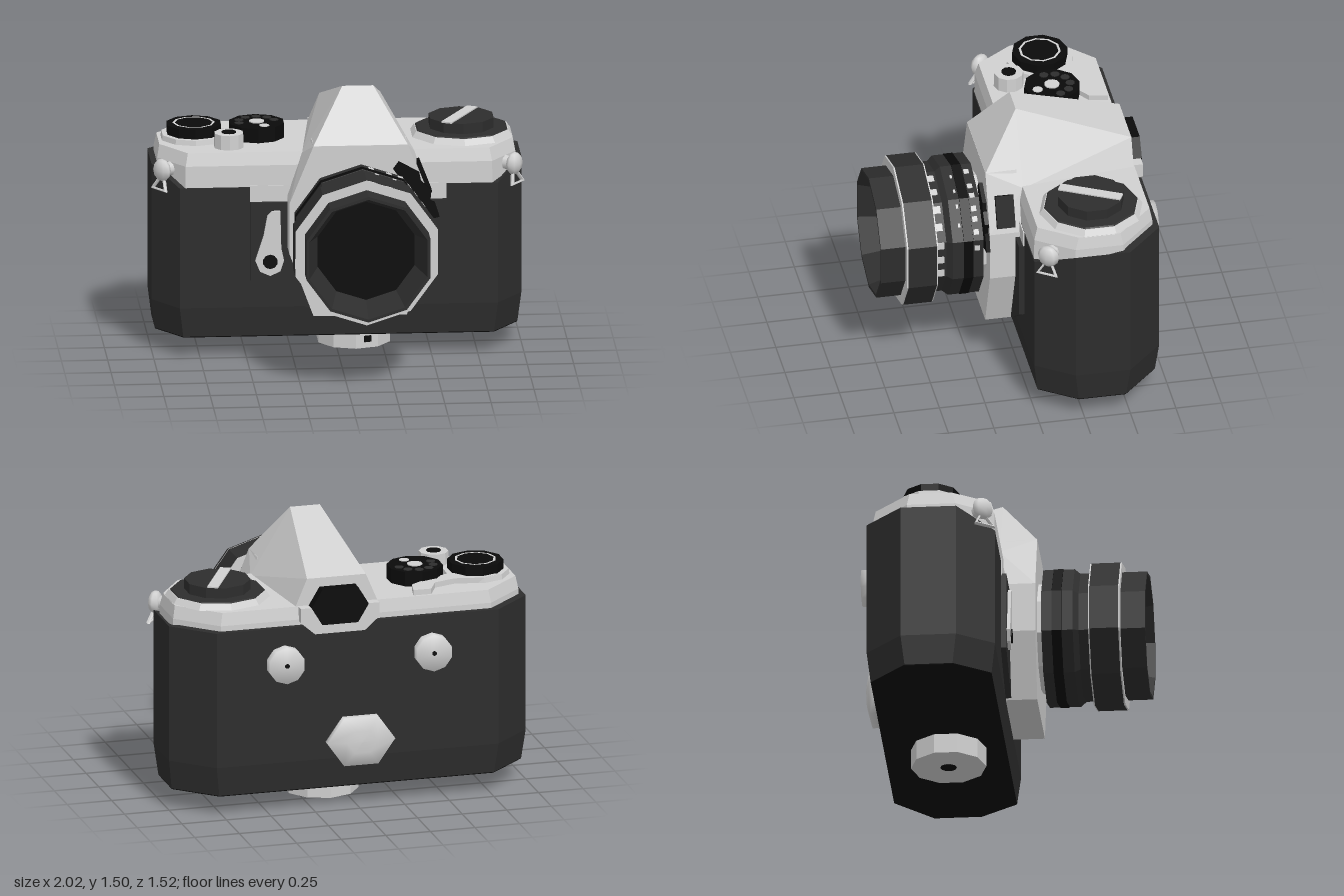
import * as THREE from 'three';
import { ConvexGeometry } from 'three/addons/geometries/ConvexGeometry.js';

const mat = (name, color) => Object.assign(new THREE.MeshStandardMaterial({ color }), { name });

export function createModel() {
  const silver = mat('satin silver', 0xd0d0d0);
  const dark = mat('dark covering', 0x2d2d2d);
  const black = mat('black', 0x0a0a0a);
  const root = new THREE.Group();
  root.name = 'camera';

  const add = (name, geo, material, x = 0, y = 0, z = 0, parent = root) => {
    const m = new THREE.Mesh(geo, material);
    m.name = name;
    m.position.set(x, y, z);
    parent.add(m);
    return m;
  };
  const flat = (geo) => {
    const g = geo.index ? geo.toNonIndexed() : geo;
    g.computeVertexNormals();
    return g;
  };
  const box = (w, h, d) => new THREE.BoxGeometry(w, h, d);
  // Faceted upright disc
  const disc = (r0, r1, h) => flat(new THREE.CylinderGeometry(r1, r0, h, 10));
  // Flat outline pushed along +z
  const plate = (pts, depth) => new THREE.ExtrudeGeometry(
    new THREE.Shape(pts.map(([x, y]) => new THREE.Vector2(x, y))), { depth, bevelEnabled: false });
  // Closed solid through stacked rings, counter-clockwise seen from above
  const loft = (rings) => {
    const n = rings[0].length, p = [];
    const tri = (...v) => v.forEach((a) => p.push(...a));
    for (let k = 0; k + 1 < rings.length; k++) {
      for (let i = 0; i < n; i++) {
        const j = (i + 1) % n, lo = rings[k], hi = rings[k + 1];
        tri(lo[i], lo[j], hi[j], lo[i], hi[j], hi[i]);
      }
    }
    const bottom = rings[0], top = rings[rings.length - 1];
    for (let i = 1; i + 1 < n; i++) {
      tri(top[0], top[i], top[i + 1]);
      tri(bottom[0], bottom[i + 1], bottom[i]);
    }
    const g = new THREE.BufferGeometry();
    g.setAttribute('position', new THREE.Float32BufferAttribute(p, 3));
    g.computeVertexNormals();
    return g;
  };

  // Body: clipped-corner outline, front corners of the covering dip lower
  const outline = [[1, -0.5], [0.79, -0.7], [-0.79, -0.7], [-1, -0.5], [-1, -0.2], [-0.86, 0], [0.86, 0], [1, -0.2]];
  const ring = (inset, y, frontInset = inset) => outline.map(([x, z]) => [
    x - Math.sign(x) * inset, y, z > -0.4 ? z - frontInset : z + inset]);
  const rim = ring(0, 1.04);
  rim[5][1] = rim[6][1] = 0.95;
  add('body', loft([ring(0.02, 0.115), ring(0, 0.28), rim]), dark);
  add('basePlate', loft([ring(0.022, 0.11), ring(0.02, 0.116)]), black);
  add('topCover', loft([ring(0.03, 0.93, 0.004), ring(0.032, 1.07, 0.006), ring(0.045, 1.14, 0.025)]), silver);

  // Raised covering and trim around the lens mount
  add('frontTrim', plate([[-0.48, 0.86], [0.58, 0.86], [0.58, 0.96], [-0.48, 0.96]], 0.006), silver);
  add('frontPanel', plate([[-0.48, 0.87], [-0.48, 0.43], [-0.17, 0.28], [0.37, 0.28], [0.58, 0.43], [0.58, 0.87]], 0.03), dark);
  add('lensMount', plate([[-0.15, 0.27], [0.355, 0.27], [0.485, 0.62], [0.485, 0.9],
    [0.36, 1.22], [-0.15, 1.22], [-0.28, 0.9], [-0.28, 0.62]], 0.17), silver);

  // Prism housing
  const prism = [
    [0.02, 1.5, -0.03], [0.187, 1.5, -0.03], [-0.06, 1.29, -0.65], [0.27, 1.29, -0.65],
    [-0.15, 1.22, 0.169], [0.36, 1.22, 0.169], [-0.2, 1.13, -0.03], [0.41, 1.13, -0.03],
    [-0.14, 1.1, -0.65], [0.35, 1.1, -0.65], [-0.28, 0.9, 0.169], [0.485, 0.9, 0.169],
    [-0.28, 0.9, 0], [0.485, 0.9, 0]];
  add('prismHousing', new ConvexGeometry(prism.map((v) => new THREE.Vector3(...v))), silver);

  // Eyepiece at the back with a silver surround
  add('eyepieceSurround', plate([[-0.12, 1.06], [-0.04, 0.99], [0.24, 0.99], [0.32, 1.06], [0.32, 1.14], [-0.12, 1.14]], 0.055), silver, 0, 0, -0.704);
  add('eyepiece', plate([[-0.06, 1.14], [0, 1.04], [0.2, 1.04], [0.26, 1.14], [0.2, 1.24], [0, 1.24]], 0.07), black, 0, 0, -0.71);

  // Lens: ten-sided turned parts facing forward
  const lens = new THREE.Group();
  lens.name = 'lens';
  lens.position.set(0.105, 0.745, 0);
  root.add(lens);
  const turned = (name, pts, m) => add(name, flat(new THREE.LatheGeometry(
    pts.map(([r, z]) => new THREE.Vector2(r, z)), 10).rotateX(Math.PI / 2)), m, 0, 0, 0, lens);
  turned('bayonet', [[0.3, 0.15], [0.3, 0.21]], silver);
  turned('barrel', [[0.28, 0.2], [0.378, 0.2], [0.378, 0.37], [0.352, 0.4], [0.352, 0.46]], dark);
  turned('barrelBand', [[0.376, 0.255], [0.381, 0.257], [0.381, 0.308], [0.376, 0.31]], black);
  turned('rearRing', [[0.34, 0.455], [0.403, 0.455], [0.403, 0.463]], silver);
  turned('focusRing', [[0.35, 0.462], [0.406, 0.462], [0.406, 0.618]], dark);
  turned('frontRing', [[0.404, 0.618], [0.405, 0.626], [0.345, 0.626]], silver);
  turned('frontBarrel', [[0.352, 0.6], [0.352, 0.76], [0.335, 0.76], [0.275, 0.58]], dark);
  turned('glass', [[0.28, 0.58], [0, 0.58]], black);

  // Scale marks lying on the facets
  const mark = (deg, r, z, w, d) => {
    const face = Math.round(deg / 36) * 36, f = THREE.MathUtils.degToRad(face);
    const apothem = r * Math.cos(Math.PI / 10);
    const t = apothem * Math.tan(THREE.MathUtils.degToRad(deg - face));
    add('scaleMark', box(0.006, w, d), silver,
      apothem * Math.cos(f) - t * Math.sin(f), apothem * Math.sin(f) + t * Math.cos(f), z, lens).rotation.z = f;
  };
  for (const a of [82, 66, 48, 32, 15, 0, -14]) mark(a, 0.353, 0.43, 0.04, 0.035);
  for (const a of [82, 66, 56, 45, 36, 25, 11]) mark(a, 0.379, 0.236, 0.03, 0.028);
  for (const a of [78, 62, 48, 32]) mark(a, 0.379, 0.325, 0.022, 0.012);

  // Jagged coupling tab and side meter block
  add('couplingTab', plate([[0.28, 1.09], [0.31, 1.13], [0.42, 1.07], [0.43, 1.02], [0.485, 0.97],
    [0.48, 0.91], [0.505, 0.9], [0.53, 0.82], [0.44, 0.8], [0.38, 0.95]], 0.022), black, 0, 0, 0.176);
  add('sideBlock', box(0.08, 0.18, 0.1), black, 0.425, 1.01, 0.08).rotation.z = 0.37;

  // Self-timer lever
  add('timerLever', plate([[-0.455, 0.55], [-0.41, 0.69], [-0.39, 0.8], [-0.365, 0.825], [-0.32, 0.825],
    [-0.315, 0.62], [-0.3, 0.55], [-0.32, 0.49], [-0.375, 0.465], [-0.43, 0.49]], 0.02), silver, 0, 0, 0.028);
  add('timerPivot', disc(0.04, 0.04, 0.008), black, -0.375, 0.545, 0.05).rotation.x = Math.PI / 2;

  // Rewind dial
  add('rewindBase', disc(0.285, 0.262, 0.035), silver, 0.685, 1.155, -0.345);
  add('rewindPlate', disc(0.258, 0.25, 0.006), dark, 0.685, 1.175, -0.345);
  add('rewindKnob', disc(0.18, 0.18, 0.06), dark, 0.685, 1.205, -0.345);
  add('rewindBar', box(0.06, 0.008, 0.35), silver, 0.675, 1.238, -0.345).rotation.y = -0.48;

  // Winding lever, dials and shutter button
  add('windLeverBase', disc(0.185, 0.18, 0.03), silver, -0.76, 1.153, -0.35);
  add('windLever', plate([[-0.86, 0.49], [-0.76, 0.53], [-0.6, 0.5], [-0.48, 0.54], [-0.43, 0.64], [-0.33, 0.64],
    [-0.35, 0.54], [-0.45, 0.47], [-0.6, 0.4]], 0.03).rotateX(-Math.PI / 2), silver, 0, 1.14, 0);
  for (const [name, x] of [['windDial', -0.76], ['speedDial', -0.42]]) {
    add(name, disc(0.152, 0.152, 0.08), black, x, 1.18, -0.35);
  }
  add('windDialRing', flat(new THREE.RingGeometry(0.102, 0.115, 10).rotateX(-Math.PI / 2)), silver, -0.76, 1.223, -0.35);
  add('speedDialHub', disc(0.042, 0.042, 0.008), silver, -0.42, 1.222, -0.35);
  add('speedDialDot', disc(0.028, 0.028, 0.006), silver, -0.385, 1.221, -0.265);
  for (let i = 0; i < 6; i++) {
    const a = 0.3 + i * 0.62;
    add('speedDialMark', disc(0.025, 0.025, 0.005), dark, -0.42 + 0.1 * Math.cos(a), 1.221, -0.35 - 0.1 * Math.sin(a));
  }
  add('shutterButton', disc(0.082, 0.08, 0.08), silver, -0.585, 1.18, -0.145);
  add('shutterSocket', disc(0.04, 0.04, 0.006), black, -0.585, 1.222, -0.145);

  // Strap lugs with triangular rings on the front corners
  for (const s of [-1, 1]) {
    const lug = new THREE.Group();
    lug.name = s > 0 ? 'leftStrapLug' : 'rightStrapLug';
    lug.position.set(s * 0.915, 1.04, -0.085);
    lug.rotation.y = s * 0.96;
    root.add(lug);
    add('lugPost', new THREE.CylinderGeometry(0.03, 0.04, 0.06, 8).rotateX(Math.PI / 2), silver, 0, 0, 0.02, lug);
    add('lugKnob', new THREE.SphereGeometry(0.062, 8, 6).scale(1, 1, 0.6), silver, 0, 0, 0.045, lug);
    const hoop = new THREE.TorusGeometry(0.062, 0.012, 6, 3).rotateZ(Math.PI / 2);
    add('strapRing', flat(hoop), silver, 0, -0.075, 0.055, lug).rotation.x = -0.3;
  }

  // Back buttons and wide bump, softly shaded like shallow domes
  const dome = (r, h) => new THREE.LatheGeometry([[r, 0], [r, h], [0, h]].map(([a, b]) => new THREE.Vector2(a, b)), 10)
    .rotateX(-Math.PI / 2);
  for (const x of [-0.415, 0.41]) {
    add('backButton', dome(0.102, 0.06), silver, x, 0.84, -0.695);
    add('backButtonDot', disc(0.013, 0.013, 0.006), black, x, 0.84, -0.756).rotation.x = Math.PI / 2;
  }
  const bump = add('backBump', new THREE.LatheGeometry([[1, 0], [1, 0.045], [0.45, 0.065], [0, 0.068]]
    .map(([a, b]) => new THREE.Vector2(a, b)), 6).rotateX(-Math.PI / 2), silver, -0.01, 0.375, -0.695);
  bump.geometry.rotateZ(Math.PI / 2);
  bump.scale.set(0.19, 0.155, 1);

  // Tripod foot with screw hole
  add('tripodFoot', disc(0.204, 0.204, 0.12), silver, 0.102, 0.06, -0.33);
  add('tripodHole', disc(0.045, 0.045, 0.004), black, 0.102, 0.001, -0.33);
  add('tripodMark', box(0.04, 0.035, 0.008), black, 0.165, 0.05, -0.145).rotation.y = Math.PI / 10;

  return root;
}
